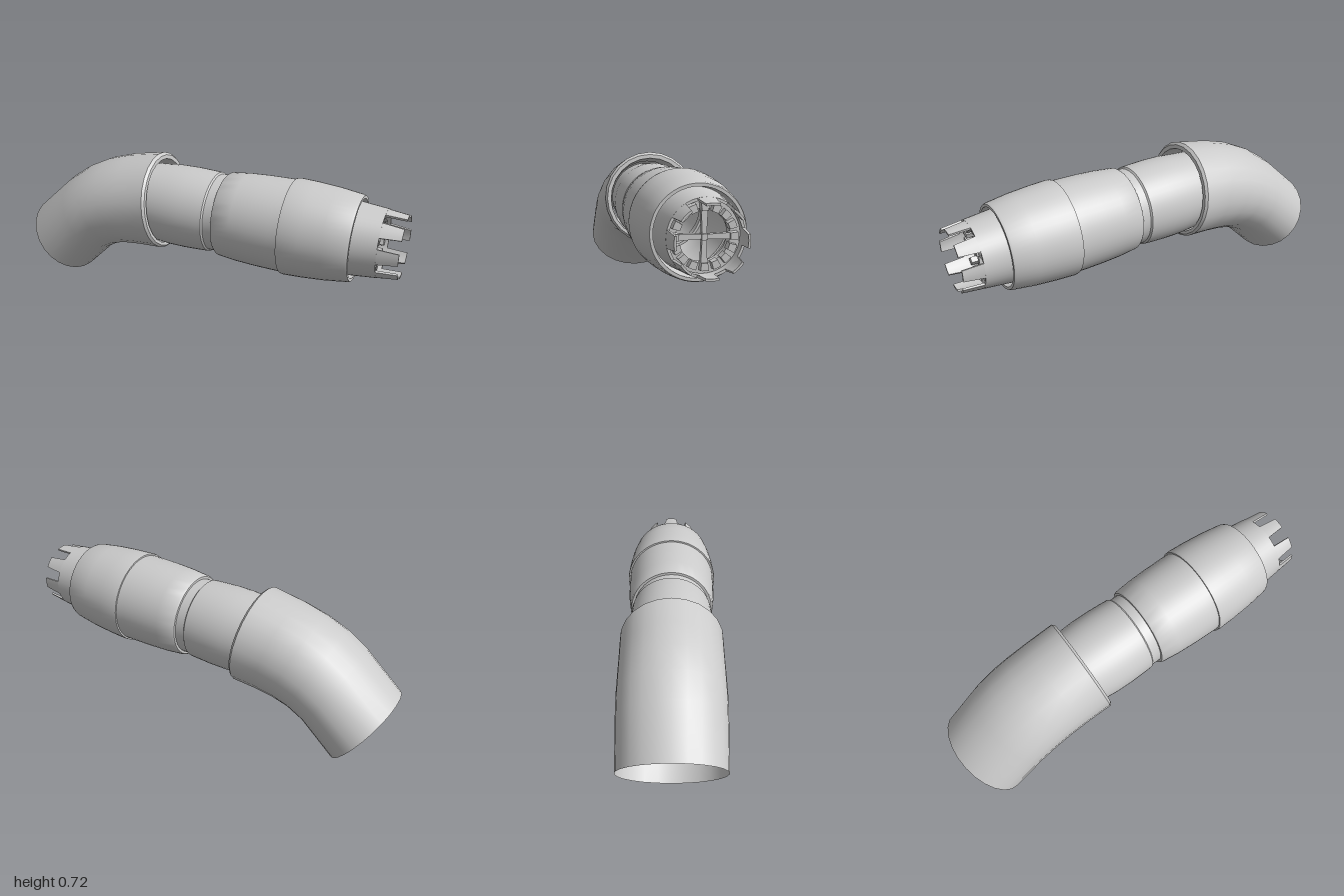
import * as THREE from 'three';
import { toCreasedNormals } from 'three/addons/utils/BufferGeometryUtils.js';

const material = new THREE.MeshStandardMaterial({ color: 0xcccccc, side: THREE.DoubleSide });
const CREASE = 0.6;

function addMesh(parent, name, geometry) {
  const mesh = new THREE.Mesh(toCreasedNormals(geometry, CREASE), material);
  mesh.name = name;
  parent.add(mesh);
  return mesh;
}

// Turned part along the x axis, profile given as [x, radius]
function turned(profile, sides = 48) {
  const points = profile.map(([x, r]) => new THREE.Vector2(r, x));
  return new THREE.LatheGeometry(points, sides).rotateZ(-Math.PI / 2);
}

// Box bent round the x axis: each end is [x, inner radius, outer radius, half angle]
function arcBlock(start, end, angle) {
  const geometry = new THREE.BoxGeometry(1, 1, 1, 1, 1, 4);
  const p = geometry.attributes.position;
  for (let i = 0; i < p.count; i++) {
    const [x, inner, outer, half] = p.getX(i) < 0 ? start : end;
    const r = p.getY(i) < 0 ? inner : outer;
    const a = angle + p.getZ(i) * 2 * half;
    p.setXYZ(i, x, r * Math.cos(a), r * Math.sin(a));
  }
  return geometry;
}

// Bent tube lofted through ellipses: [topX, topY, bottomX, bottomY, half width]
function loft(sections, sides) {
  const positions = [], index = [];
  sections.forEach(([tx, ty, bx, by, w], i) => {
    for (let j = 0; j < sides; j++) {
      const a = (j / sides) * Math.PI * 2, c = Math.cos(a) / 2;
      positions.push((tx + bx) / 2 + (tx - bx) * c, (ty + by) / 2 + (ty - by) * c, w * Math.sin(a));
      if (i === sections.length - 1) continue;
      const k = (j + 1) % sides, p = i * sides, q = p + sides;
      index.push(p + j, p + k, q + j, p + k, q + k, q + j);
    }
  });
  const geometry = new THREE.BufferGeometry();
  geometry.setAttribute('position', new THREE.Float32BufferAttribute(positions, 3));
  geometry.setIndex(index);
  geometry.computeVertexNormals();
  return geometry;
}

export function createModel() {
  const model = new THREE.Group();
  model.name = 'bentTube';

  // Elbow with a rolled rim turning back inside
  addMesh(model, 'elbow', loft([
    [-1, 0.345, -0.74, 0.003, 0.25],
    [-0.8, 0.525, -0.58, 0.158, 0.252],
    [-0.69, 0.6, -0.5, 0.2, 0.252],
    [-0.58, 0.652, -0.42, 0.216, 0.25],
    [-0.45, 0.69, -0.33, 0.222, 0.249],
    [-0.28, 0.72, -0.222, 0.224, 0.25],
    [-0.266, 0.708, -0.212, 0.236, 0.24],
    [-0.264, 0.688, -0.214, 0.25, 0.22],
    [-0.36, 0.665, -0.32, 0.262, 0.203],
  ], 24));

  // Barrel assembly, tipped slightly downwards
  const barrel = new THREE.Group();
  barrel.name = 'barrel';
  barrel.position.y = 0.456;
  barrel.rotation.z = -0.016;
  model.add(barrel);

  addMesh(barrel, 'innerSleeve', turned([
    [-0.4, 0.19], [-0.25, 0.202], [-0.17, 0.209], [-0.08, 0.21],
    [0.02, 0.206], [0.045, 0.204], [0.052, 0.196],
    [0.1, 0.196],
  ]));
  addMesh(barrel, 'middleSleeve', turned([
    [0.1, 0.196], [0.1, 0.208], [0.108, 0.214], [0.2, 0.224], [0.3, 0.229], [0.4, 0.231], [0.445, 0.231],
  ]));
  addMesh(barrel, 'outerSleeve', turned([
    [0.445, 0.231], [0.445, 0.239], [0.46, 0.241], [0.55, 0.237], [0.66, 0.228],
    [0.77, 0.213], [0.781, 0.208], [0.781, 0.194], [0.72, 0.19], [0.7, 0.184],
  ]));

  // Crown: tapered shell ending in eight teeth
  addMesh(barrel, 'crownShell', turned([
    [0.9, 0.154], [0.7, 0.172], [0.7, 0.187], [0.78, 0.178], [0.9, 0.166], [0.9, 0.154],
  ]));
  for (let i = 0; i < 8; i++) {
    addMesh(barrel, 'crownTooth', arcBlock(
      [0.895, 0.154, 0.166, 0.235], [0.999, 0.145, 0.155, 0.19], (i * Math.PI) / 4));
  }

  // Inner ring carrying sixteen blocks
  addMesh(barrel, 'innerRing', turned([
    [0.8, 0.16], [0.8, 0.114], [0.85, 0.114], [0.85, 0.157],
  ]));
  for (let i = 0; i < 16; i++) {
    addMesh(barrel, 'ringBlock', arcBlock(
      [0.84, 0.108, 0.142, 0.13], [0.885, 0.108, 0.14, 0.125], (i * Math.PI) / 8));
  }

  // Cross of four flared spokes around a square hub
  for (let i = 0; i < 4; i++) {
    const spoke = new THREE.BoxGeometry(0.025, 0.126, 0.03);
    const p = spoke.attributes.position;
    for (let j = 0; j < p.count; j++) if (p.getY(j) < 0) p.setZ(j, p.getZ(j) * 0.65);
    spoke.translate(0.86, 0.073, 0).rotateX((i * Math.PI) / 2);
    addMesh(barrel, 'spoke', spoke);
  }
  addMesh(barrel, 'hub', new THREE.BoxGeometry(0.04, 0.026, 0.026).translate(0.862, 0, 0));

  return model;
}
